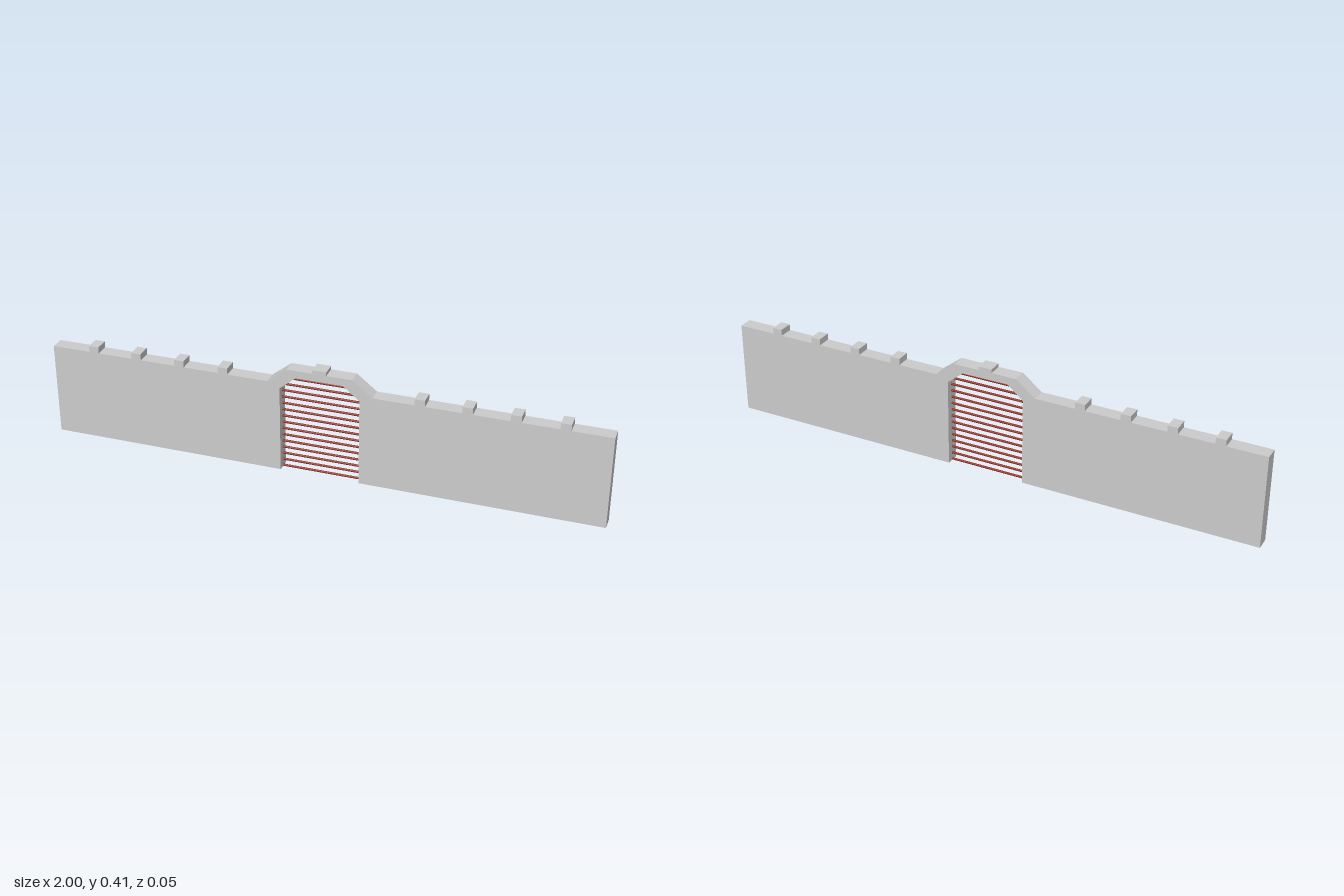
import * as THREE from 'three';

const DEPTH = 0.052;
const WALL_TOP = 0.34;

export function createModel() {
  const group = new THREE.Group();
  const stone = new THREE.MeshStandardMaterial({ color: 0xcccccc });
  const red = new THREE.MeshStandardMaterial({ color: 0x8f2410 });

  // Right half of the outline: gate opening, wall end, merlons, then gate arch
  const half = [[0.085, 0.368], [0.143, 0.32], [0.143, 0], [1, 0], [1, WALL_TOP]];
  for (let i = 3; i >= 0; i--) {
    const x = 0.352 + i * 0.163, w = 0.018, top = 0.363;
    half.push([x + w, WALL_TOP], [x + w, top], [x - w, top], [x - w, WALL_TOP]);
  }
  half.push([0.188, WALL_TOP], [0.117, 0.396], [0.025, 0.396], [0.025, 0.409]);

  // Mirror it into one closed wall with a gateway
  const mirrored = half.map(([x, y]) => [-x, y]).reverse();
  const outline = [...half, ...mirrored].map(([x, y]) => new THREE.Vector2(x, y));
  const wallGeometry = new THREE.ExtrudeGeometry(new THREE.Shape(outline), {
    depth: DEPTH, bevelEnabled: false,
  });
  wallGeometry.translate(0, 0, -DEPTH / 2);
  const wall = new THREE.Mesh(wallGeometry, stone);
  wall.name = 'gatewayWall';
  group.add(wall);

  // Horizontal bars closing the gateway
  const gate = new THREE.Group();
  gate.name = 'barredGate';
  const barGeometry = new THREE.CylinderGeometry(0.004, 0.004, 0.288, 12);
  barGeometry.rotateZ(Math.PI / 2);
  for (let i = 0; i < 15; i++) {
    const bar = new THREE.Mesh(barGeometry, red);
    bar.name = 'gateBar';
    bar.position.y = 0.004 + i * 0.0248;
    gate.add(bar);
  }
  group.add(gate);
  return group;
}
